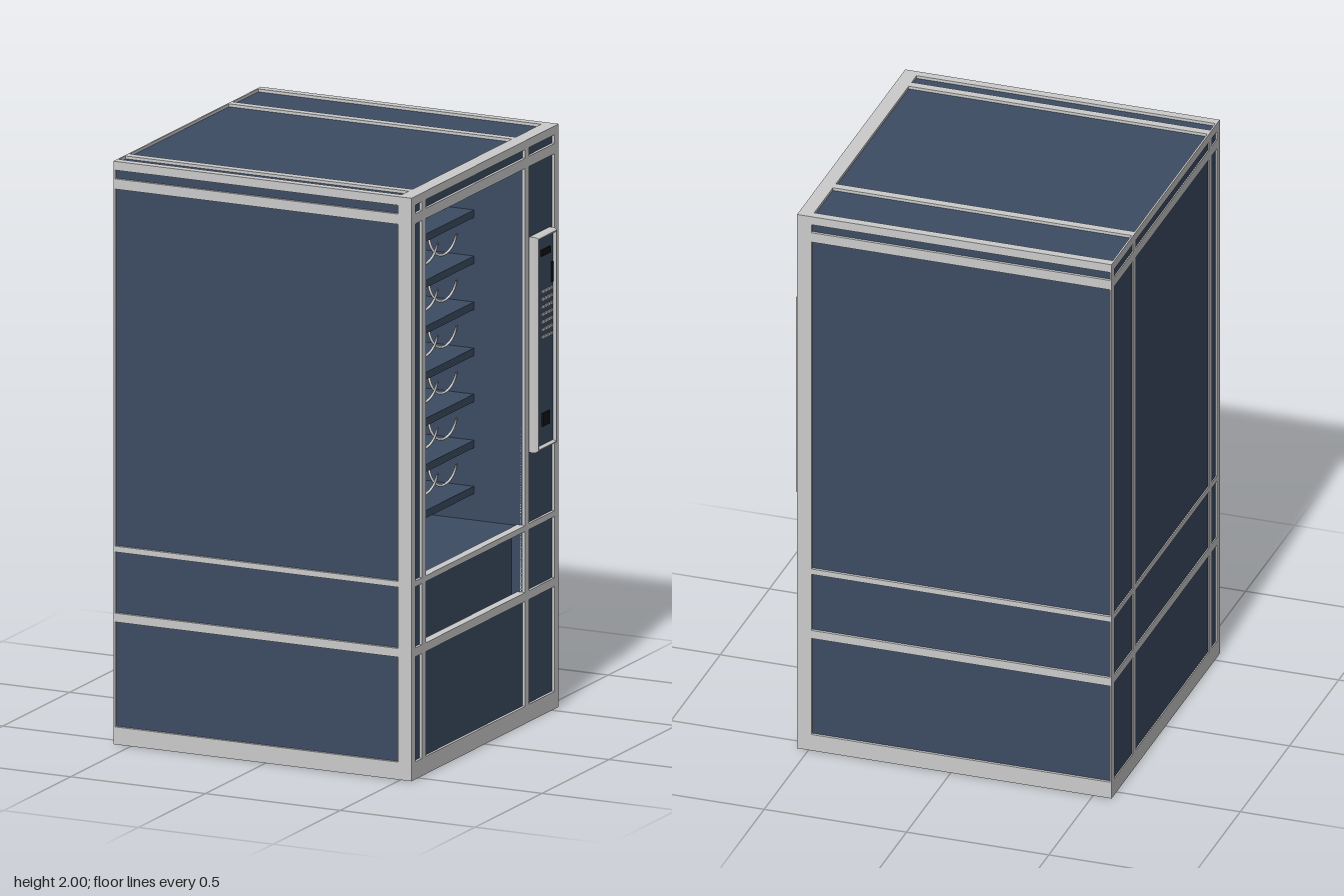
import * as THREE from 'three';

const grey = new THREE.MeshStandardMaterial({ color: 0xcccccc });
const blue = new THREE.MeshStandardMaterial({ color: 0x3c4c63 });
const black = new THREE.MeshStandardMaterial({ color: 0x121212 });

// Overall extents of the cabinet (the glass front faces +x)
const X0 = -0.565, X1 = 0.54, Z = 0.55, H = 2;
const INSET = 0.01, BACK = 0.006;
const WIN = { z0: -0.3, z1: 0.44, y0: 0.68, y1: 1.905 };

// Box given by its min and max along each axis
function box(parent, name, mat, x0, x1, y0, y1, z0, z1) {
  const mesh = new THREE.Mesh(new THREE.BoxGeometry(x1 - x0, y1 - y0, z1 - z0), mat);
  mesh.position.set((x0 + x1) / 2, (y0 + y1) / 2, (z0 + z1) / 2);
  mesh.name = name;
  parent.add(mesh);
  return mesh;
}

function group(parent, name) {
  const g = new THREE.Group();
  g.name = name;
  parent.add(g);
  return g;
}

function buildPanels(root) {
  const g = group(root, 'cabinetPanels');
  const zi = Z - INSET, xf = X1 - INSET, xb = X0 + BACK - 0.002;
  for (const s of [-1, 1]) {
    const a = s * zi, b = s * (zi - 0.02);
    box(g, 'sidePanel', blue, xb, xf, 0.01, H - INSET, Math.min(a, b), Math.max(a, b));
  }
  box(g, 'topPanel', blue, xb, xf, H - INSET - 0.02, H - INSET, -zi, zi);
  box(g, 'bottomPanel', blue, xb, xf, INSET, INSET + 0.02, -zi, zi);
  box(g, 'backPanel', blue, xb, xb + 0.02, INSET, H - INSET, -zi, zi);
  // Front sheet, leaving the window and the delivery flap open
  box(g, 'frontPanelLeft', blue, xf - 0.02, xf, INSET, H - INSET, WIN.z1, zi);
  box(g, 'frontPanelRight', blue, xf - 0.02, xf, INSET, H - INSET, -zi, WIN.z0);
  box(g, 'frontPanelTop', blue, xf - 0.02, xf, WIN.y1, H - INSET, WIN.z0, WIN.z1);
  box(g, 'frontPanelBottom', blue, xf - 0.02, xf, INSET, 0.44, WIN.z0, WIN.z1);
  box(g, 'deliveryFlap', blue, 0.47, 0.49, 0.43, 0.67, WIN.z0, WIN.z1 - 0.005);
}

function buildTrim(root) {
  const g = group(root, 'frameTrim');
  // Horizontal bands round all four sides
  for (const [y0, y1] of [[0, 0.06], [0.42, 0.45], [0.66, 0.68], [1.905, 1.94], [1.97, 2]]) {
    box(g, 'frontBand', grey, X1 - 0.03, X1, y0, y1, -Z, Z);
    box(g, 'backBand', grey, X0, X0 + BACK, y0, y1, -Z, Z);
    box(g, 'leftBand', grey, X0, X1, y0, y1, Z - 0.03, Z);
    box(g, 'rightBand', grey, X0, X1, y0, y1, -Z, -Z + 0.03);
  }
  // Upright bands running over the top, back, bottom and front
  for (const [z0, z1] of [[-0.55, -0.52], [-0.33, -0.3], [0.44, 0.47], [0.52, 0.55]]) {
    box(g, 'topBand', grey, X0, X1, H - 0.03, H, z0, z1);
    box(g, 'bottomBand', grey, X0, X1, 0, 0.03, z0, z1);
    box(g, 'frontUpright', grey, X1 - 0.03, X1, 0, H, z0, z1);
    box(g, 'backUpright', grey, X0, X0 + BACK, 0, H, z0, z1);
  }
  // Heavier edge framing the front
  for (const s of [-1, 1]) {
    box(g, 'cornerPost', grey, X1 - 0.05, X1, 0, H, s > 0 ? Z - 0.03 : -Z, s > 0 ? Z : -Z + 0.03);
  }
  box(g, 'frontTopRail', grey, X1 - 0.05, X1, H - 0.03, H, -Z, Z);
  box(g, 'frontBottomRail', grey, X1 - 0.05, X1, 0, 0.06, -Z, Z);
}

function buildInterior(root) {
  const g = group(root, 'displayCompartment');
  const back = -0.3, front = 0.52;
  box(g, 'backWall', black, back - 0.02, back, WIN.y0 - 0.02, WIN.y1, WIN.z0, WIN.z1);
  box(g, 'leftWall', blue, back, front, 0.44, WIN.y1, WIN.z1, WIN.z1 + 0.015);
  box(g, 'rightWall', blue, back, front, 0.44, WIN.y1, WIN.z0 - 0.015, WIN.z0);
  box(g, 'ceiling', blue, back, front, WIN.y1, WIN.y1 + 0.015, WIN.z0, WIN.z1);
  box(g, 'floor', blue, back, front, WIN.y0 - 0.015, WIN.y0 - 0.003, WIN.z0, WIN.z1);

  // Spiral product coil, axis along x
  const turns = 6, radius = 0.04, x0 = -0.26, x1 = 0.34, pts = [];
  for (let i = 0; i <= turns * 12; i++) {
    const t = i / (turns * 12), a = t * turns * Math.PI * 2;
    pts.push(new THREE.Vector3(x0 + (x1 - x0) * t, Math.cos(a) * radius, Math.sin(a) * radius));
  }
  const coilGeo = new THREE.TubeGeometry(new THREE.CatmullRomCurve3(pts), turns * 18, 0.0045, 6);

  for (let r = 0; r < 7; r++) {
    const y = 0.78 + r * 0.158;
    const row = group(g, 'shelfRow');
    box(row, 'shelf', blue, back, 0.35, y - 0.013, y + 0.013, WIN.z0, WIN.z1);
    for (let c = 0; c < 5; c++) {
      const coil = new THREE.Mesh(coilGeo, grey);
      coil.name = 'coil';
      coil.position.set(0, y + 0.076, 0.385 - c * 0.1425);
      row.add(coil);
    }
  }
}

function buildControls(root) {
  const g = group(root, 'controlPanel');
  const zc = -0.417, yc = 1.29, w = 0.15, h = 0.74;
  // Bevelled surround with an open middle
  const rect = (Type, rw, rh) => {
    const p = new Type();
    p.moveTo(-rw / 2, -rh / 2);
    p.lineTo(rw / 2, -rh / 2);
    p.lineTo(rw / 2, rh / 2);
    p.lineTo(-rw / 2, rh / 2);
    p.closePath();
    return p;
  };
  const b = 0.006;
  const shape = rect(THREE.Shape, w - 2 * b, h - 2 * b);
  shape.holes.push(rect(THREE.Path, w - 0.02, h - 0.02));
  const geo = new THREE.ExtrudeGeometry(shape, {
    depth: 0.02, bevelEnabled: true, bevelSegments: 1, bevelSize: b, bevelThickness: 0.01,
  });
  const surround = new THREE.Mesh(geo, grey);
  surround.name = 'panelSurround';
  surround.rotation.y = Math.PI / 2;
  surround.position.set(0.535, yc, zc);
  g.add(surround);

  box(g, 'panelFace', blue, 0.525, 0.555, yc - h / 2 + 0.006, yc + h / 2 - 0.006, zc - w / 2 + 0.006, zc + w / 2 - 0.006);
  box(g, 'noteSlot', black, 0.55, 0.561, 1.585, 1.607, -0.45, -0.385);
  box(g, 'coinSlot', black, 0.55, 0.559, 1.48, 1.55, -0.472, -0.461);
  box(g, 'coinReturn', black, 0.55, 0.561, 1.0, 1.045, -0.442, -0.393);
  for (let r = 0; r < 7; r++) {
    for (let c = 0; c < 4; c++) {
      const y = 1.305 + r * 0.026, z = -0.4 - c * 0.021;
      box(g, 'key', grey, 0.55, 0.559, y - 0.005, y + 0.005, z - 0.008, z + 0.008);
    }
  }
}

export function createModel() {
  const root = new THREE.Group();
  root.name = 'vendingMachine';
  buildPanels(root);
  buildTrim(root);
  buildInterior(root);
  buildControls(root);
  return root;
}
